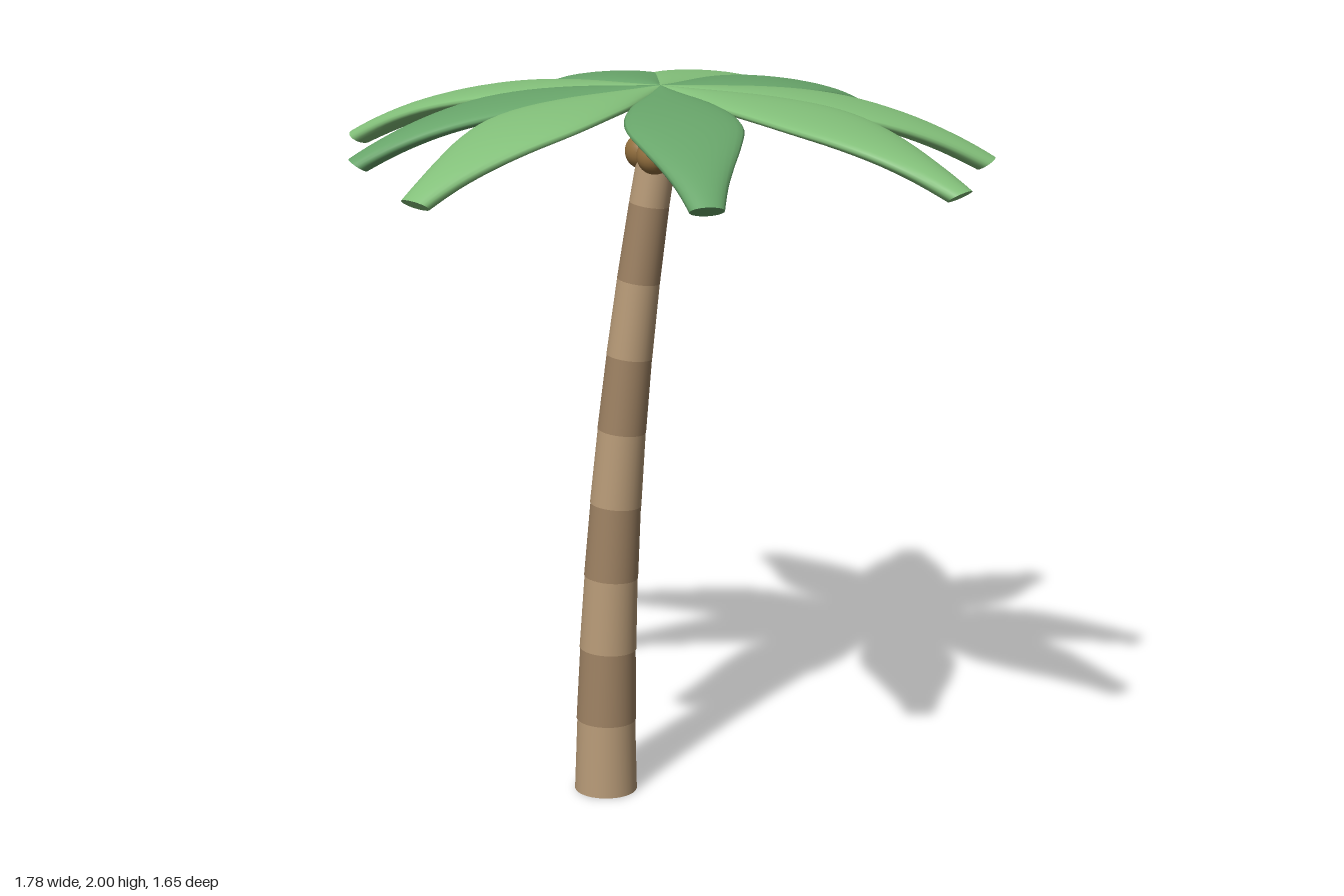
import * as THREE from 'three';

const mat = (color) => new THREE.MeshStandardMaterial({ color });
const barkLight = mat(0xb89b78), barkDark = mat(0x9e8263), nutMat = mat(0x94703f);
const leafLight = mat(0x83c07a), leafDark = mat(0x68a56a);
const CROWN_Z = 0.055;

// Half width of a frond against its length
const widthCurve = new THREE.SplineCurve([
  [0, 0.012], [0.12, 0.052], [0.27, 0.108], [0.42, 0.143], [0.55, 0.15],
  [0.68, 0.125], [0.8, 0.092], [0.9, 0.065], [1, 0.044],
].map(([t, w]) => new THREE.Vector2(t, w)));

// Arched, flattened tube that swells, tapers and ends in a flat cut
function frondGeometry(length) {
  const rings = 24, sides = 24, pos = [], index = [];
  const ring = ({ x: t, y: w }) => {
    const tilt = 1.0 * t ** 3, thick = 0.02 + 0.009 * t;
    for (let j = 0; j < sides; j++) {
      const a = (j / sides) * Math.PI * 2, h = thick * (Math.sin(a) - 1);
      pos.push(w * Math.cos(a), -0.18 * t ** 3 + h * Math.cos(tilt), length * t + h * Math.sin(tilt));
    }
    return thick * 1;
  };
  const stations = widthCurve.getPoints(rings);
  stations.forEach(ring);
  for (let i = 0; i < rings; i++) {
    for (let j = 0; j < sides; j++) {
      const k = (j + 1) % sides;
      const a = i * sides + j, b = i * sides + k, c = a + sides, d = b + sides;
      index.push(a, b, c, b, d, c);
    }
  }
  // Tip cut with its own vertices, so its rim stays sharp
  const start = pos.length / 3;
  ring(stations[rings]);
  for (let j = 1; j < sides - 1; j++) index.push(start, start + j, start + j + 1);
  const geo = new THREE.BufferGeometry();
  geo.setAttribute('position', new THREE.Float32BufferAttribute(pos, 3));
  geo.setIndex(index);
  geo.computeVertexNormals();
  return geo;
}

function createTrunk() {
  const trunk = new THREE.Group();
  trunk.name = 'trunk';
  const count = 9, step = 0.21;
  const at = (y) => new THREE.Vector3(-0.155 + 0.16 * (y / 1.9) ** 2, y, CROWN_Z + 0.005);
  for (let i = 0; i < count; i++) {
    const last = i === count - 1;
    const a = at(i * step), b = at(last ? 1.965 : (i + 1) * step);
    const r = 0.088 - 0.0042 * i;
    const axis = b.clone().sub(a);
    const segment = new THREE.Mesh(
      new THREE.CylinderGeometry(r * 0.93, r, axis.length(), 32), i % 2 ? barkDark : barkLight);
    segment.name = 'trunkSegment';
    segment.position.copy(a).lerp(b, 0.5);
    segment.quaternion.setFromUnitVectors(new THREE.Vector3(0, 1, 0), axis.normalize());
    trunk.add(segment);
  }
  return trunk;
}

function createCrown() {
  const crown = new THREE.Group();
  crown.name = 'crown';
  crown.position.set(0, 2, CROWN_Z);
  // Tip x, tip z and shade of each frond
  [
    [0.15, -0.83, 1], [0.585, -0.585, 0], [0.89, 0.065, 1],
    [0.81, 0.56, 1], [0.18, 0.82, 0], [-0.56, 0.79, 1],
    [-0.81, 0.235, 0], [-0.885, -0.23, 1], [-0.355, -0.745, 0],
  ].forEach(([x, z, light]) => {
    const dz = z - CROWN_Z;
    const frond = new THREE.Mesh(frondGeometry(Math.hypot(x, dz)), light ? leafLight : leafDark);
    frond.name = 'frond';
    frond.rotation.y = Math.atan2(x, dz);
    crown.add(frond);
  });
  return crown;
}

function createCoconuts() {
  const nuts = new THREE.Group();
  nuts.name = 'coconuts';
  [[-0.01, 0.118], [0.056, 0.03], [-0.048, 0.04]].forEach(([x, z]) => {
    const nut = new THREE.Mesh(new THREE.SphereGeometry(0.049, 24, 16), nutMat);
    nut.name = 'coconut';
    nut.position.set(x, 1.82, z);
    nuts.add(nut);
  });
  return nuts;
}

export function createModel() {
  const palm = new THREE.Group();
  palm.name = 'palmTree';
  palm.add(createTrunk(), createCrown(), createCoconuts());
  return palm;
}
